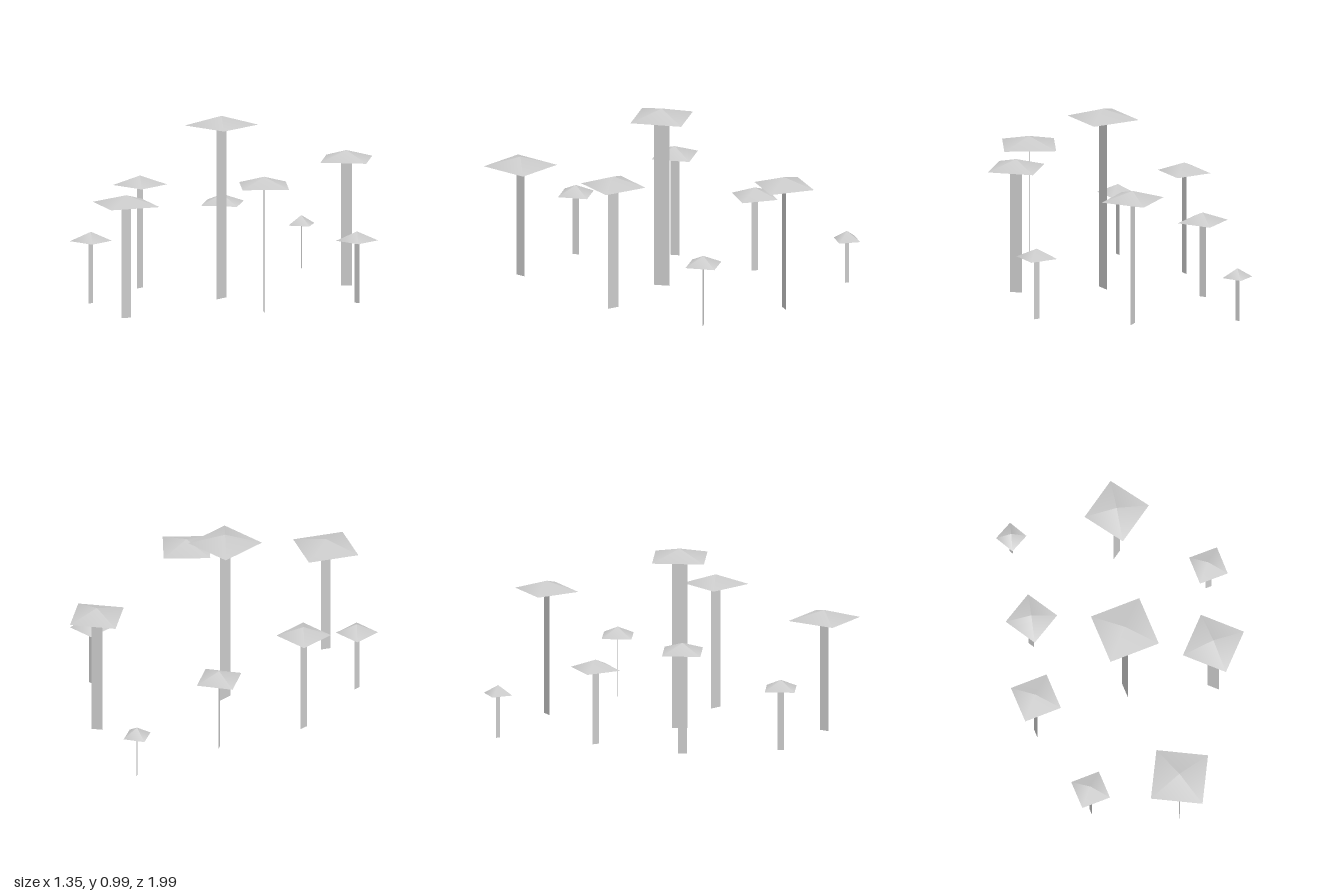
import * as THREE from 'three';

const CAP_HEIGHT = 0.05;

// x, z, height of cap rim, cap side, stem width, turn about y
const MUSHROOMS = [
  [-0.31, -0.92, 0.24, 0.115, 0.024, 0.48],
  [0.206, -0.695, 0.685, 0.247, 0.06, 2.16],
  [-0.408, -0.392, 0.415, 0.196, 0.038, 0.53],
  [0.591, -0.342, 0.338, 0.159, 0.034, 1.56],
  [-0.042, 0.033, 0.94, 0.278, 0.083, 0],
  [-0.575, 0.084, 0.56, 0.205, 0.048, 0],
  [0.402, 0.195, 0.685, 0.249, 0.066, 0.79],
  [-0.041, 0.806, 0.615, 0.277, 0.054, 2.65],
  [-0.47, 0.602, 0.338, 0.159, 0.035, 0],
];

function makeMushroom(material, x, z, rim, side, width, turn) {
  const mushroom = new THREE.Group();
  mushroom.name = 'mushroom';
  mushroom.position.set(x, 0, z);
  mushroom.rotation.y = turn;

  // Four-sided open cap
  const capShape = new THREE.ConeGeometry(side / Math.SQRT2, CAP_HEIGHT, 4, 1, true);
  capShape.rotateY(Math.PI / 4);
  const cap = new THREE.Mesh(capShape, material);
  cap.name = 'cap';
  cap.position.y = rim + CAP_HEIGHT / 2;

  // Flat stem, reaching up to the inside of the cap
  const height = rim + CAP_HEIGHT * (1 - width / side) - 0.001;
  const stemShape = new THREE.PlaneGeometry(width, height);
  stemShape.rotateY(Math.PI / 2);
  const stem = new THREE.Mesh(stemShape, material);
  stem.name = 'stem';
  stem.position.y = height / 2;

  mushroom.add(cap, stem);
  return mushroom;
}

export function createModel() {
  const group = new THREE.Group();
  group.name = 'mushroomCluster';
  const material = new THREE.MeshStandardMaterial({ color: 0xcccccc, side: THREE.DoubleSide });
  for (const spec of MUSHROOMS) group.add(makeMushroom(material, ...spec));
  return group;
}
